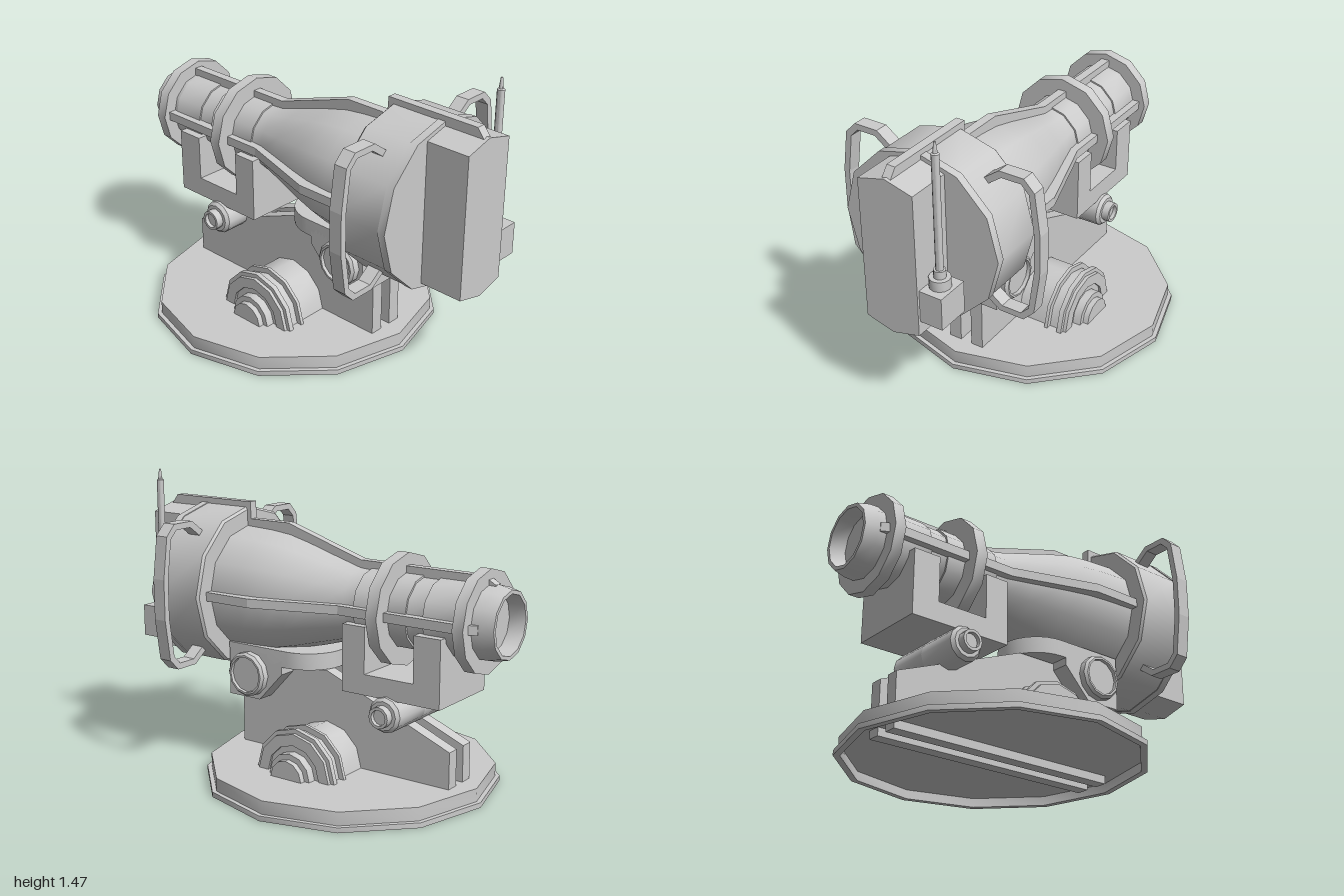
import * as THREE from 'three';
import { toCreasedNormals } from 'three/addons/utils/BufferGeometryUtils.js';

const grey = new THREE.MeshStandardMaterial({ color: 0xcccccc });
const AXIS_Y = 0.885; // height of the barrel axis

const points = (list) => list.map(([a, b]) => new THREE.Vector2(a, b));

// Turned part around y, from [radius, height] pairs running upward
function turned(list, segments = 12, start = 0, length = Math.PI * 2) {
  return toCreasedNormals(new THREE.LatheGeometry(points(list), segments, start, length), 0.7);
}

// Flat outline extruded along +z
function slab(list, depth) {
  return new THREE.ExtrudeGeometry(new THREE.Shape(points(list)), { depth, bevelEnabled: false });
}

// [z, y] outline extruded along x and centred on cx
function sideSlab(list, width, cx = 0) {
  return slab(list, width).rotateY(-Math.PI / 2).translate(cx + width / 2, 0, 0);
}

export function createModel() {
  const model = new THREE.Group();
  const add = (name, geometry, x = 0, y = 0, z = 0) => {
    const mesh = new THREE.Mesh(geometry, grey);
    mesh.name = name;
    mesh.position.set(x, y, z);
    model.add(mesh);
    return mesh;
  };

  // Twelve-sided base plate with a recessed underside
  add('basePlate', turned([
    [0, 0.045], [0.695, 0.045], [0.695, 0], [0.727, 0], [0.727, 0.025],
    [0.705, 0.025], [0.705, 0.09], [0, 0.09],
  ]), 0, 0, -0.15);

  // Twin pedestal plates joined by a recessed web
  for (const s of [-1, 1]) {
    add('pedestalPlate', sideSlab([
      [0.46, 0.005], [0.46, 0.545], [-0.07, 0.545], [-0.76, 0.27], [-0.76, 0.005],
    ], 0.065, s * 0.0625));
  }
  add('pedestalWeb', new THREE.BoxGeometry(0.06, 0.37, 0.6), 0, 0.255, 0);

  // Front bracket: side cheeks below a saddle plate with a rounded rear
  add('frontBracket', sideSlab([
    [0.47, 0.36], [0.47, 0.6], [0.14, 0.6], [0.14, 0.51], [0.28, 0.36],
  ], 0.375));
  const saddle = new THREE.Shape();
  saddle.moveTo(-0.1875, -0.47);
  saddle.lineTo(0.1875, -0.47);
  saddle.lineTo(0.1875, -0.11);
  saddle.absarc(0, -0.11, 0.1875, 0, Math.PI, false);
  add('saddlePlate', toCreasedNormals(new THREE.ExtrudeGeometry(saddle, {
    depth: 0.082, bevelEnabled: false, curveSegments: 8,
  }).rotateX(-Math.PI / 2), 0.7), 0, 0.548, 0);

  // Half-round drive housings, pivot caps and rollers, mirrored on both sides
  const housing = turned([
    [0.2, 0.05], [0.2, 0.26], [0.228, 0.26], [0.228, 0.277], [0.2, 0.277], [0.2, 0.33],
    [0.228, 0.33], [0.228, 0.355], [0.207, 0.355], [0.207, 0.372], [0.15, 0.372], [0.15, 0.36],
    [0.118, 0.36], [0.118, 0.402], [0.09, 0.402], [0.09, 0.43], [0, 0.43],
  ], 6, Math.PI, Math.PI).rotateZ(-Math.PI / 2);
  const pivot = turned([
    [0.112, 0], [0.112, 0.22], [0.1, 0.233], [0.09, 0.233], [0.09, 0.215], [0, 0.215],
  ]).rotateZ(-Math.PI / 2);
  const roller = turned([
    [0.085, 0], [0.085, 0.22], [0.07, 0.236], [0.052, 0.236], [0.052, 0.275],
    [0.038, 0.275], [0.038, 0.255], [0, 0.255],
  ]).rotateZ(-Math.PI / 2);
  for (const turn of [0, Math.PI]) {
    add('driveHousing', housing, 0, 0.09, -0.07).rotation.y = turn;
    add('pivotCap', pivot, 0, 0.487, 0.337).rotation.y = turn;
    add('elevationRoller', roller, 0, 0.43, -0.485).rotation.y = turn;
  }

  // U-shaped rear cradle
  add('rearCradle', sideSlab([
    [-0.235, 0.5], [-0.235, 0.825], [-0.36, 0.825], [-0.36, 0.6],
    [-0.625, 0.6], [-0.625, 0.825], [-0.765, 0.825], [-0.765, 0.5],
  ], 0.41));

  // Barrel: open end at the rear, widening toward the front drum
  add('barrel', turned([
    [0, -0.92], [0.135, -0.92], [0.142, -1], [0.16, -1], [0.175, -0.94], [0.178, -0.82],
    [0.18, -0.82], [0.18, -0.65], [0.172, -0.65], [0.172, -0.56], [0.182, -0.56], [0.182, -0.275],
    [0.174, -0.275], [0.178, -0.21], [0.215, -0.08], [0.265, 0.09], [0.295, 0.21], [0.307, 0.32],
    [0.315, 0.48], [0.315, 0.5],
  ]).rotateX(Math.PI / 2), 0, AXIS_Y, 0);
  add('frontDrum', turned([
    [0, 0.478], [0.396, 0.478], [0.407, 0.49], [0.407, 0.74], [0.411, 0.74], [0.411, 0.78], [0, 0.78],
  ]).rotateX(Math.PI / 2), 0, AXIS_Y, 0);
  for (const [radius, z0, z1] of [[0.27, -0.465, -0.405], [0.243, -0.895, -0.84]]) {
    add('barrelFlange', turned([[0.15, z0], [radius, z0], [radius, z1], [0.15, z1]])
      .rotateX(Math.PI / 2), 0, AXIS_Y, 0);
  }

  // Ribs: [z, distance from axis]; the top one runs on over the drum
  const ribBack = [[0.22, 0.345], [-0.21, 0.21], [-0.87, 0.21], [-0.93, 0.175], [-0.93, 0.15], [-0.2, 0.15]];
  const topRib = [[0.985, 0.3], [0.985, 0.385], [0.95, 0.43], [0.46, 0.43], [0.455, 0.345], ...ribBack, [0.22, 0.28]];
  const sideRib = [[0.49, 0.28], [0.49, 0.345], ...ribBack, [0.22, 0.27]];
  add('topRib', sideSlab(topRib, 0.044), 0, AXIS_Y, 0);
  for (const s of [-1, 1]) {
    add('sideRib', sideSlab(sideRib, 0.044).rotateZ(s * Math.PI / 2), 0, AXIS_Y, 0);
  }

  // Upright front housing, its ends following the drum outline
  add('frontHousing', slab([
    [0.143, -0.352], [0.143, 0.352], [0, 0.39], [-0.143, 0.352], [-0.143, -0.352], [0, -0.39],
  ], 0.23), 0, AXIS_Y, 0.77);

  // Antenna and its mounting box
  add('antennaBox', new THREE.BoxGeometry(0.12, 0.16, 0.165), 0.2, 0.683, 0.905);
  add('antenna', turned([
    [0, 0.76], [0.05, 0.76], [0.05, 0.812], [0.028, 0.812], [0.028, 0.85], [0.018, 0.85],
    [0.018, 1.41], [0.011, 1.415], [0.005, 1.465], [0, 1.465],
  ]), 0.195, 0, 0.905);

  // Side grab handles, half outlines mirrored about the barrel axis
  const outer = [[0.25, 0.305], [0.325, 0.36], [0.45, 0.36], [0.504, 0.305], [0.533, 0.1]];
  const inner = [[0.25, 0.265], [0.338, 0.33], [0.436, 0.33], [0.476, 0.29], [0.503, 0.095]];
  const mirror = (list) => list.map(([x, y]) => [x, -y]);
  const handle = [
    ...outer, ...mirror(outer).reverse(), ...mirror(inner), ...inner.slice().reverse(),
  ];
  for (const s of [-1, 1]) {
    add('grabHandle', slab(handle.map(([x, y]) => [s * x, y]), 0.068), 0, AXIS_Y, 0.577);
  }

  return model;
}
